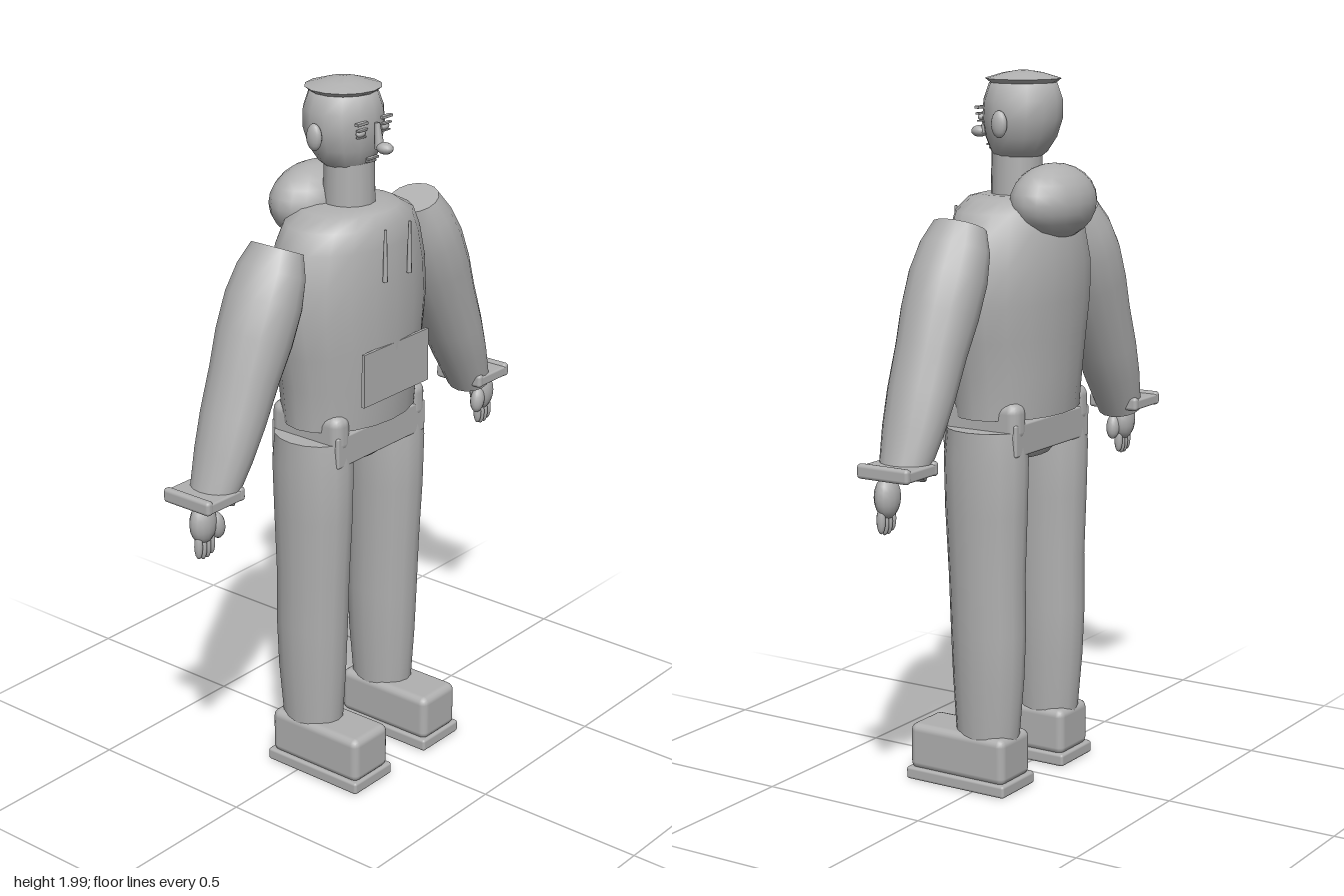
import * as THREE from 'three';
import { toCreasedNormals } from 'three/addons/utils/BufferGeometryUtils.js';
import { RoundedBoxGeometry } from 'three/addons/geometries/RoundedBoxGeometry.js';

const grey = new THREE.MeshStandardMaterial({ color: 0xb0b0b0 });
grey.name = 'plain grey';

function add(parent, name, geometry, x = 0, y = 0, z = 0) {
  const mesh = new THREE.Mesh(geometry, grey);
  mesh.name = name;
  mesh.position.set(x, y, z);
  parent.add(mesh);
  return mesh;
}

// Closed tube through elliptical sections, top to bottom: [y, rx, rz, cz]
function loft(sections, sides = 16) {
  const n = sections.length - 1;
  const g = new THREE.CylinderGeometry(1, 1, 1, sides, n);
  const p = g.attributes.position;
  for (let i = 0; i < p.count; i++) {
    const [y, rx, rz, cz = 0] = sections[Math.round((0.5 - p.getY(i)) * n)];
    p.setXYZ(i, p.getX(i) * rx, y, p.getZ(i) * rz + cz);
  }
  return toCreasedNormals(g, 1.0);
}

const ball = (rx, ry, rz, w = 14, h = 10) => new THREE.SphereGeometry(1, w, h).scale(rx, ry, rz);
const box = (w, h, d, r = 0.008) => new RoundedBoxGeometry(w, h, d, 2, r);

function buildHead(group) {
  const head = new THREE.Group();
  head.name = 'head';
  group.add(head);
  add(head, 'neck', new THREE.CylinderGeometry(0.07, 0.073, 0.14, 14), 0, 1.71, 0);
  add(head, 'skull', loft([
    [1.985, 0.06, 0.06, -0.02], [1.965, 0.094, 0.094, -0.02], [1.92, 0.112, 0.108, -0.02],
    [1.87, 0.115, 0.109, -0.018], [1.82, 0.103, 0.097, -0.014], [1.78, 0.08, 0.077, -0.008],
    [1.752, 0.05, 0.05, 0], [1.745, 0.025, 0.025, 0]], 14));
  // Shallow cap with a thin rim
  add(head, 'cap', loft([[2, 0.012, 0.012], [1.993, 0.055, 0.055], [1.978, 0.105, 0.105],
    [1.966, 0.09, 0.09]], 14), 0, 0, -0.02);
  const bridge = add(head, 'noseBridge', new THREE.CylinderGeometry(0.007, 0.014, 0.07, 8), 0, 1.86, 0.1);
  bridge.rotation.x = -0.12;
  add(head, 'noseTip', ball(0.02, 0.016, 0.025), 0, 1.829, 0.122);
  add(head, 'upperLip', box(0.044, 0.006, 0.012, 0.002), 0, 1.796, 0.08);
  add(head, 'lowerLip', box(0.034, 0.006, 0.012, 0.002), 0, 1.787, 0.075);
  for (const s of [-1, 1]) {
    add(head, 'ear', ball(0.016, 0.037, 0.024), s * 0.121, 1.86, -0.02);
    add(head, 'eye', ball(0.017, 0.01, 0.01), s * 0.05, 1.872, 0.08);
    add(head, 'upperEyelid', box(0.038, 0.006, 0.012, 0.002), s * 0.05, 1.882, 0.085);
    add(head, 'lowerEyelid', box(0.032, 0.004, 0.012, 0.001), s * 0.05, 1.862, 0.082);
    add(head, 'eyebrow', box(0.043, 0.008, 0.014, 0.002), s * 0.052, 1.899, 0.084);
  }
}

function buildBody(group) {
  add(group, 'torso', loft([
    [1.665, 0.1, 0.1], [1.657, 0.145, 0.13], [1.625, 0.208, 0.15], [1.57, 0.238, 0.162, -0.003],
    [1.48, 0.262, 0.172, -0.005], [1.38, 0.268, 0.172, -0.003], [1.28, 0.252, 0.168],
    [1.18, 0.234, 0.162], [1.065, 0.224, 0.153]], 20));
  add(group, 'hood', ball(0.155, 0.105, 0.105, 18, 12), 0, 1.648, -0.118);
  add(group, 'pocket', new THREE.BoxGeometry(0.28, 0.152, 0.009), 0, 1.22, 0.163);
  // Hips and hem band
  add(group, 'hips', loft([[1.08, 0.18, 0.11], [0.98, 0.175, 0.11], [0.94, 0.12, 0.08]]));
  add(group, 'hemBand', box(0.385, 0.09, 0.24, 0.006), 0, 1.012, 0);
  for (const s of [-1, 1]) {
    add(group, 'drawstring', new THREE.CylinderGeometry(0.004, 0.007, 0.145, 8), s * 0.052, 1.553, 0.167);
    add(group, 'hemKnob', box(0.068, 0.11, 0.245, 0.03), s * 0.165, 1.06, 0);
  }
}

function buildArm(group, s) {
  const arm = new THREE.Group();
  arm.name = s > 0 ? 'leftArm' : 'rightArm';
  group.add(arm);
  const sleeve = add(arm, 'sleeve', loft([
    [0.342, 0.066, 0.076], [0.28, 0.085, 0.1], [0.2, 0.099, 0.11], [0.1, 0.1, 0.108],
    [0, 0.09, 0.1], [-0.12, 0.081, 0.096], [-0.22, 0.07, 0.087], [-0.342, 0.053, 0.068]]),
    s * 0.4275, 1.2875, -0.005);
  sleeve.rotation.z = s * 0.414;
  // Flat cuff with raised ends
  add(arm, 'cuff', box(0.14, 0.03, 0.16, 0.006), s * 0.589, 0.995, -0.008);
  for (const dx of [-0.062, 0.062])
    add(arm, 'cuffEnd', box(0.024, 0.04, 0.162, 0.01), s * (0.589 + dx), 0.997, -0.008);
  // Hand
  add(arm, 'palm', ball(0.042, 0.058, 0.032), s * 0.614, 0.928, 0.008);
  const thumb = add(arm, 'thumb', ball(0.023, 0.038, 0.02), s * 0.575, 0.912, 0.022);
  thumb.rotation.z = s * -0.15;
  for (let i = 0; i < 4; i++)
    add(arm, 'finger', ball(0.0105, 0.036, 0.013, 10, 8), s * (0.59 + i * 0.016), i % 3 ? 0.862 : 0.868, 0.012);
}

function buildLeg(group, s) {
  const leg = new THREE.Group();
  leg.name = s > 0 ? 'leftLeg' : 'rightLeg';
  group.add(leg);
  add(leg, 'trouserLeg', loft([
    [1.035, 0.094, 0.115], [0.95, 0.097, 0.125], [0.8, 0.093, 0.122], [0.62, 0.088, 0.114, -0.002],
    [0.46, 0.087, 0.112, -0.006], [0.32, 0.084, 0.106, -0.006], [0.15, 0.072, 0.094, -0.004]]),
    s * 0.158, 0, 0);
  add(leg, 'shoe', box(0.15, 0.135, 0.315, 0.022), s * 0.158, 0.102, 0.058);
  add(leg, 'sole', box(0.165, 0.036, 0.328, 0.008), s * 0.158, 0.024, 0.057);
}

export function createModel() {
  const group = new THREE.Group();
  group.name = 'figure';
  buildHead(group);
  buildBody(group);
  for (const s of [-1, 1]) {
    buildArm(group, s);
    buildLeg(group, s);
  }
  return group;
}
